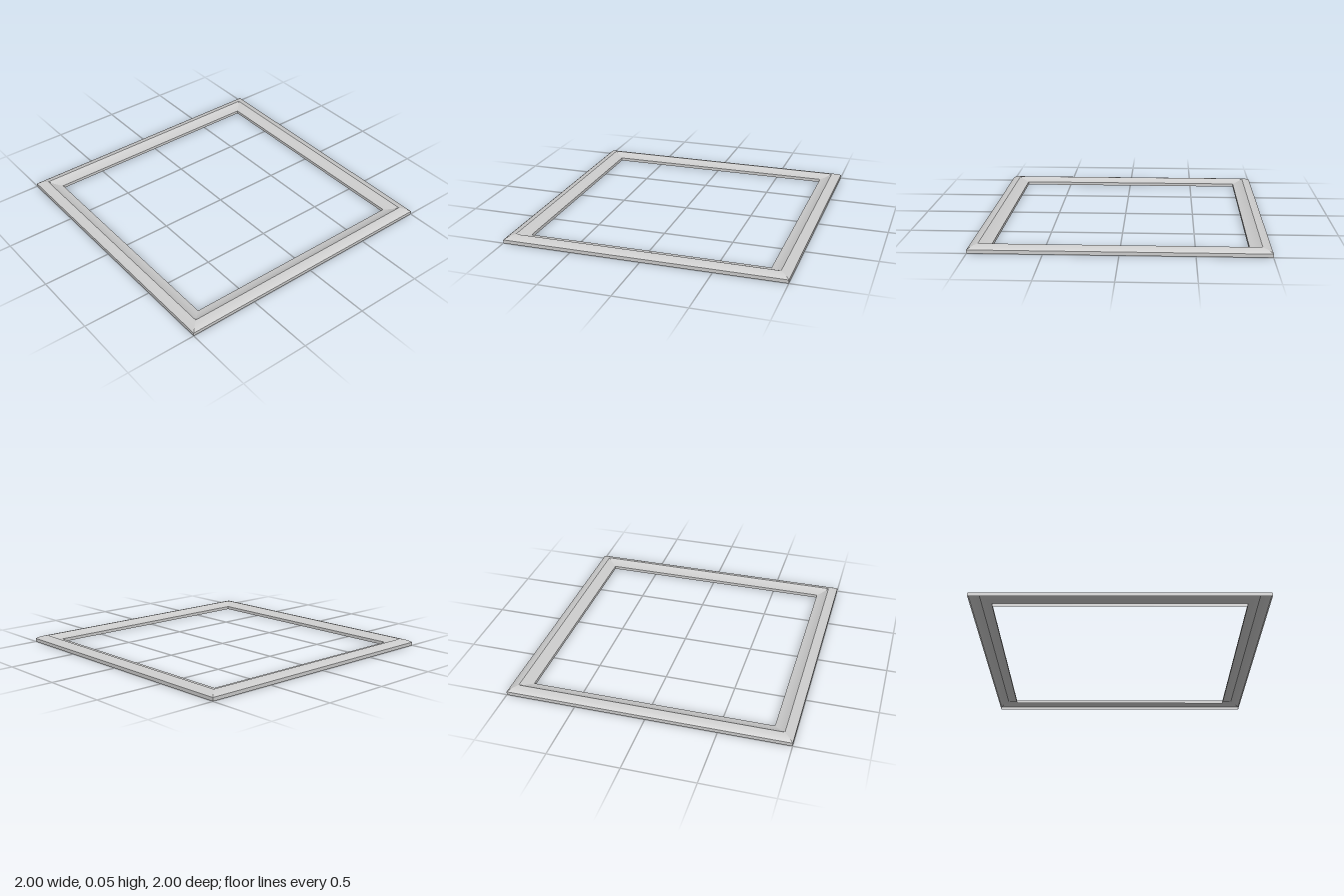
import * as THREE from 'three';

// Moulding bands, each [distance from centre, height], smooth within a band
const bands = {
  outerWall: [[1, 0], [1, 0.025]],
  outerRound: [[1, 0.025], [0.985, 0.035], [0.96, 0.045], [0.935, 0.05]],
  innerCove: [[0.935, 0.05], [0.92, 0.042], [0.9, 0.034], [0.88, 0.028], [0.855, 0.023]],
  innerWall: [[0.855, 0.023], [0.855, 0]],
};

// One mitred strip along the front side, swept between the two corners
function mitredStrip(profile) {
  const positions = [];
  const index = [];
  profile.forEach(([r, y], i) => {
    positions.push(-r, y, r, r, y, r);
    if (i === 0) return;
    const a = 2 * (i - 1);
    index.push(a, a + 1, a + 3, a, a + 3, a + 2);
  });
  const geometry = new THREE.BufferGeometry();
  geometry.setAttribute('position', new THREE.Float32BufferAttribute(positions, 3));
  geometry.setIndex(index);
  geometry.computeVertexNormals();
  return geometry;
}

export function createModel() {
  const frame = new THREE.Group();
  frame.name = 'squareFrame';
  const material = new THREE.MeshStandardMaterial({ color: 0xcccccc, side: THREE.DoubleSide });
  const strips = Object.entries(bands).map(([name, profile]) => [name, mitredStrip(profile)]);

  // Four equal rails, hollow underneath
  ['frontRail', 'leftRail', 'backRail', 'rightRail'].forEach((railName, i) => {
    const rail = new THREE.Group();
    rail.name = railName;
    for (const [name, geometry] of strips) {
      const mesh = new THREE.Mesh(geometry, material);
      mesh.name = name;
      rail.add(mesh);
    }
    rail.rotation.y = i * Math.PI / 2;
    frame.add(rail);
  });
  return frame;
}
